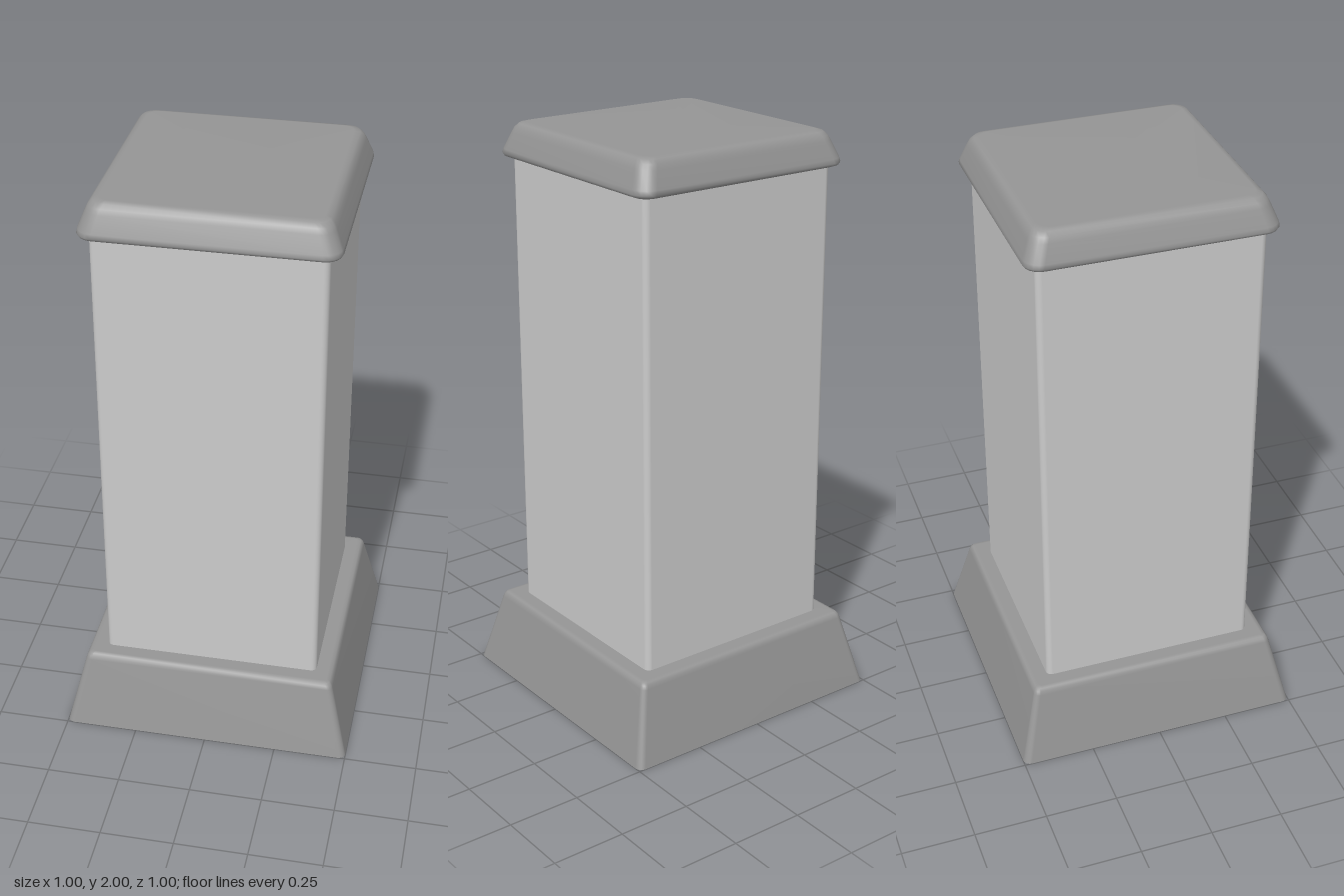
import * as THREE from 'three';

const CORNER_STEPS = 5;

// Rounded-square ring: half width, height, corner radius
function ring(half, y, r) {
  const points = [];
  for (let corner = 0; corner < 4; corner++) {
    const mid = Math.PI / 4 + corner * Math.PI / 2;
    const cx = Math.sign(Math.cos(mid)) * (half - r);
    const cz = Math.sign(Math.sin(mid)) * (half - r);
    for (let i = 0; i <= CORNER_STEPS; i++) {
      const a = (corner + i / CORNER_STEPS) * Math.PI / 2;
      points.push(cx + r * Math.cos(a), y, cz + r * Math.sin(a));
    }
  }
  return points;
}

// Solid lofted through rings, bottom to top; a repeated ring keeps a hard edge
function loft(name, profile, color) {
  const n = 4 * (CORNER_STEPS + 1);
  const bottom = profile[0], top = profile[profile.length - 1];
  const rings = [[0, bottom[1], 0], ...profile, [0, top[1], 0]];
  const positions = rings.flatMap(p => ring(...p));
  const index = [];
  for (let k = 0; k < rings.length - 1; k++) {
    if (rings[k].every((v, i) => v === rings[k + 1][i])) continue;
    for (let j = 0; j < n; j++) {
      const a = k * n + j, a2 = k * n + (j + 1) % n;
      index.push(a, a + n, a2 + n, a, a2 + n, a2);
    }
  }
  const geometry = new THREE.BufferGeometry();
  geometry.setAttribute('position', new THREE.Float32BufferAttribute(positions, 3));
  geometry.setIndex(index);
  geometry.computeVertexNormals();
  const mesh = new THREE.Mesh(geometry, new THREE.MeshStandardMaterial({ color }));
  mesh.name = name;
  return mesh;
}

export function createModel() {
  const group = new THREE.Group();
  group.name = 'pillar';
  const trim = 0x959595;

  // Flared plinth with a softened top edge
  group.add(loft('plinth', [
    [0.5, 0, 0.025], [0.5, 0, 0.025],
    [0.439, 0.25, 0.02], [0.434, 0.263, 0.018], [0.427, 0.27, 0.015], [0.415, 0.273, 0.012],
  ], trim));

  // Square shaft with rounded corners
  group.add(loft('shaft', [
    [0.373, 0.26, 0.02], [0.373, 0.26, 0.02],
    [0.373, 1.895, 0.02], [0.373, 1.895, 0.02],
  ], 0xcccccc));

  // Overhanging cap with sloped, rounded sides
  group.add(loft('cap', [
    [0.392, 1.882, 0.04], [0.405, 1.887, 0.05], [0.411, 1.896, 0.055], [0.408, 1.91, 0.055],
    [0.386, 1.965, 0.05], [0.378, 1.982, 0.048], [0.366, 1.995, 0.045], [0.348, 2, 0.04],
  ], trim));

  return group;
}
